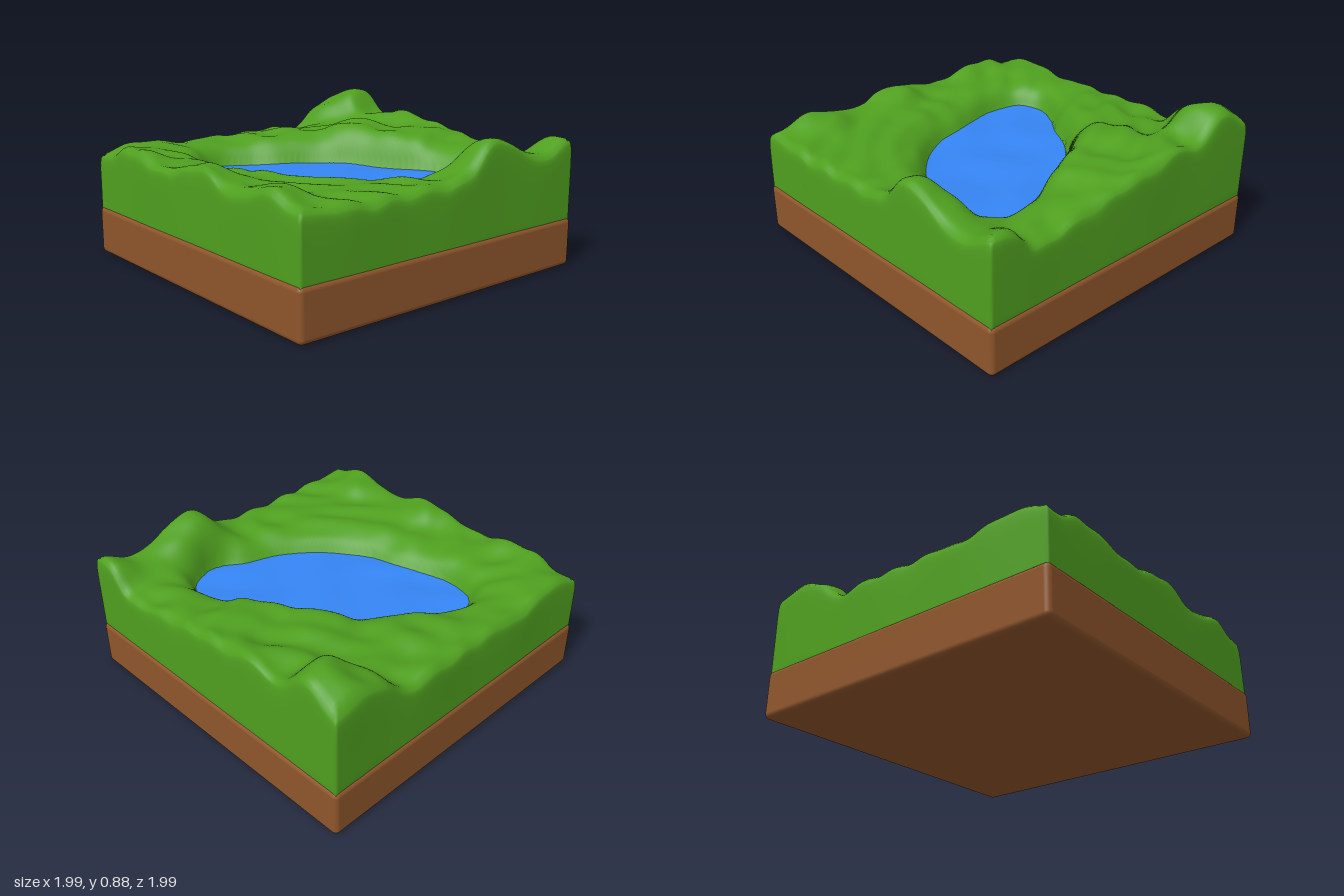
import * as THREE from 'three';
import { RoundedBoxGeometry } from 'three/addons/geometries/RoundedBoxGeometry.js';
import { mergeVertices } from 'three/addons/utils/BufferGeometryUtils.js';

const WATER = 0.505;

// Lake outline (x, z), counter-clockwise from above
const shoreCurve = new THREE.CatmullRomCurve3([
  [-0.35, -0.65], [-0.49, -0.59], [-0.55, -0.4], [-0.5, -0.18], [-0.45, -0.02], [-0.42, 0.13],
  [-0.32, 0.3], [-0.18, 0.44], [-0.02, 0.55], [0.19, 0.62], [0.3, 0.7], [0.4, 0.71], [0.55, 0.64],
  [0.6, 0.5], [0.55, 0.3], [0.47, 0.13], [0.39, -0.04], [0.3, -0.21], [0.14, -0.37], [-0.05, -0.48],
  [-0.18, -0.58],
].map(([x, z]) => new THREE.Vector3(x, 0, z)), true);
const shore = shoreCurve.getPoints(160);

// Spot heights (x, z, height) of the land, blended smoothly
const rimSpots = [
  [0.88, -0.78, 0.915], [0.98, -0.98, 0.76], [0.72, -0.9, 0.79], [0.92, -0.54, 0.71], [0.95, -0.38, 0.79],
  [0.95, -0.15, 0.74], [0.95, 0.08, 0.71], [0.95, 0.35, 0.65], [0.95, 0.6, 0.62], [0.95, 0.93, 0.755],
  [0.7, 0.93, 0.67], [0.5, 0.9, 0.765], [0.3, 0.89, 0.865], [0.12, 0.92, 0.62], [-0.1, 0.9, 0.62],
  [-0.35, 0.92, 0.62], [-0.6, 0.92, 0.61], [-0.8, 0.92, 0.63], [-0.97, 0.95, 0.63], [-0.93, 0.72, 0.7],
  [-0.95, 0.45, 0.64], [-0.95, 0.1, 0.7], [-0.95, -0.2, 0.64], [-0.95, -0.6, 0.68], [-0.95, -0.95, 0.63],
  [-0.7, -0.92, 0.67], [-0.4, -0.95, 0.63], [-0.1, -0.93, 0.64], [0.15, -0.95, 0.65], [0.42, -0.93, 0.63],
];
const innerSpots = [
  [-0.7, -0.5, 0.64], [-0.7, -0.1, 0.62], [-0.7, 0.3, 0.63], [-0.55, 0.6, 0.62], [-0.25, 0.68, 0.62],
  [0.1, 0.74, 0.61], [0.7, 0.65, 0.63], [0.72, 0.35, 0.66], [0.55, 0, 0.72], [0.72, -0.2, 0.69],
  [0.5, -0.35, 0.74], [0.2, -0.55, 0.68], [0.5, -0.65, 0.68], [-0.05, -0.68, 0.66], [-0.4, -0.78, 0.64],
];
const spots = [...rimSpots, ...innerSpots];

function landHeight(x, z) {
  let sum = 0, total = 0;
  for (const [sx, sz, h] of spots) {
    const w = Math.exp(-((x - sx) ** 2 + (z - sz) ** 2) / 0.02) + 1e-9;
    sum += w * h;
    total += w;
  }
  const bumps = 0.011 * Math.sin(17 * x + 3 * Math.sin(5 * z)) * Math.cos(15 * z + 2 * Math.sin(6 * x))
    + 0.005 * Math.sin(27 * x - 13 * z);
  return sum / total + bumps;
}

// Distance to the shore, negative inside the lake
function shoreDistance(x, z) {
  let best = Infinity, inside = false;
  for (let i = 0; i < shore.length - 1; i++) {
    const a = shore[i], b = shore[i + 1];
    const dx = b.x - a.x, dz = b.z - a.z;
    const t = THREE.MathUtils.clamp(((x - a.x) * dx + (z - a.z) * dz) / (dx * dx + dz * dz), 0, 1);
    best = Math.min(best, Math.hypot(x - a.x - t * dx, z - a.z - t * dz));
    if ((a.z > z) !== (b.z > z) && x < a.x + dx * (z - a.z) / dz) inside = !inside;
  }
  return inside ? -best : best;
}

const ripple = (x, z) => WATER + 0.004 * Math.sin(14 * z - 8 * x + 2 * Math.sin(6 * x)) + 0.003 * Math.sin(11 * x + 9 * z);

function groundHeight(x, z) {
  const level = ripple(x, z);
  const d = shoreDistance(x, z);
  if (d < 0) return level + Math.max(-0.1, d * 1.2);
  // Rounded drop along the outer rim
  const edge = Math.max(0, 1 - (0.97 - Math.max(Math.abs(x), Math.abs(z))) / 0.045);
  return level + (landHeight(x, z) - level) * (1 - Math.exp(-d / 0.055)) - 0.025 * edge * edge;
}

function makeMesh(name, geometry, color) {
  const mesh = new THREE.Mesh(geometry, new THREE.MeshStandardMaterial({ color }));
  mesh.name = name;
  return mesh;
}

export function createModel() {
  const model = new THREE.Group();
  model.name = 'lakeTerrain';

  // Soil slab
  const soil = new RoundedBoxGeometry(1.99, 0.285, 1.99, 4, 0.03);
  soil.translate(0, 0.1425, 0);
  model.add(makeMesh('soilBase', soil, 0x8f552b));

  // Grass block: the top follows the land, the walls lean in softly towards the rim
  const box = new THREE.BoxGeometry(1.965, 1, 1.965, 110, 8, 110);
  box.deleteAttribute('normal');
  box.deleteAttribute('uv');
  const grass = mergeVertices(box);
  const g = grass.attributes.position;
  for (let i = 0; i < g.count; i++) {
    const t = g.getY(i) + 0.5;
    const wobble = 0.005 * t * Math.sin(9 * g.getX(i) + 7 * g.getZ(i));
    const scale = 1 - 0.012 * t ** 6 + wobble;
    const x = g.getX(i) * scale, z = g.getZ(i) * scale;
    const rise = 1 - (1 - t) ** 2;
    g.setXYZ(i, x, t > 0 ? 0.2 + (groundHeight(x, z) - 0.2) * rise : 0.2, z);
  }
  grass.computeVertexNormals();
  model.add(makeMesh('grassTerrain', grass, 0x4f9f1f));

  // Water surface: a disc stretched to the shore, slightly tucked into the bank
  const water = new THREE.RingGeometry(0, 1.02, 120, 24);
  const w = water.attributes.position;
  const p = new THREE.Vector3();
  for (let i = 0; i < w.count; i++) {
    const r = Math.hypot(w.getX(i), w.getY(i));
    shoreCurve.getPoint((i % 121) / 120, p);
    const x = 0.03 + (p.x - 0.03) * r, z = 0.03 + (p.z - 0.03) * r;
    w.setXYZ(i, x, ripple(x, z), z);
  }
  water.computeVertexNormals();
  model.add(makeMesh('lakeWater', water, 0x3585f5));

  return model;
}
